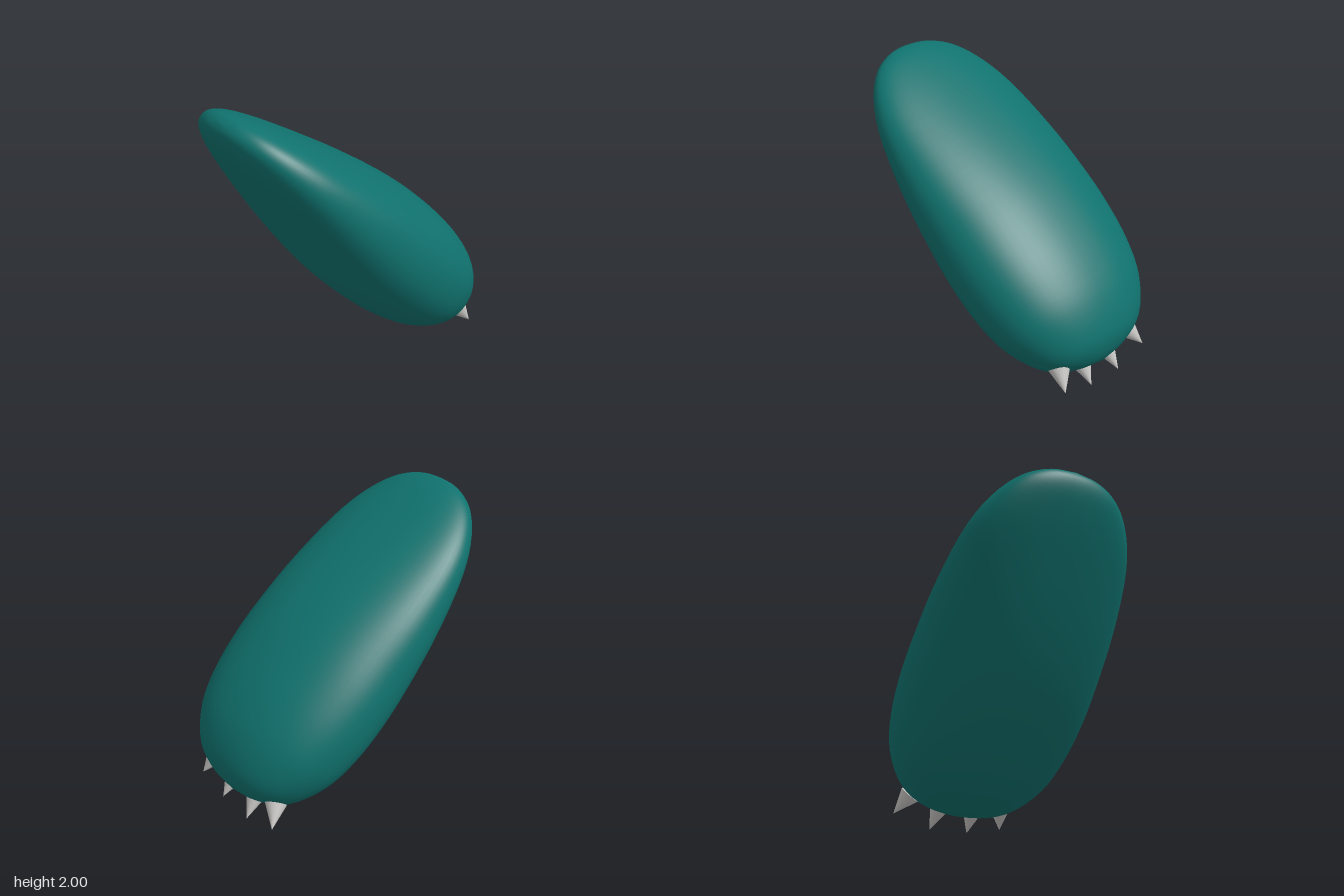
import * as THREE from 'three';
import { mergeVertices } from 'three/addons/utils/BufferGeometryUtils.js';

// Slanted frame of the body: long axis and thickness axis
const AXIS = new THREE.Vector3(0.7, -0.714, 0);
const THICK = new THREE.Vector3(0.714, 0.7, 0);
const CENTRE = new THREE.Vector3(0, 1, 0);

// Cross-sections: position along the axis, half thickness, half width
const SECTIONS = [
  [-1.37, 0, 0], [-1.345, 0.06, 0.18], [-1.26, 0.117, 0.35], [-1.1, 0.175, 0.49],
  [-0.85, 0.245, 0.6], [-0.4, 0.352, 0.672], [0, 0.42, 0.69], [0.3, 0.44, 0.69],
  [0.6, 0.432, 0.66], [0.85, 0.385, 0.59], [1.08, 0.268, 0.43], [1.185, 0.13, 0.22], [1.22, 0, 0],
];

const softPower = (v) => Math.sign(v) * Math.abs(v) ** (2 / 2.2);

// Closed loft of soft superellipses along the slanted axis
function bodyGeometry() {
  const curve = new THREE.CatmullRomCurve3(SECTIONS.map((p) => new THREE.Vector3(...p)));
  const rows = (SECTIONS.length - 1) * 4;
  const sides = 64;
  const positions = [];
  const index = [];
  for (let i = 0; i <= rows; i++) {
    const p = curve.getPoint(i / rows);
    const shift = 0.016 * (p.x + 1.37);
    for (let j = 0; j < sides; j++) {
      const a = (j / sides) * Math.PI * 2;
      const v = CENTRE.clone()
        .addScaledVector(AXIS, p.x)
        .addScaledVector(THICK, shift + p.y * softPower(Math.cos(a)));
      positions.push(v.x, v.y, p.z * softPower(Math.sin(a)));
      if (i === rows) continue;
      const b = i * sides + j;
      const c = i * sides + ((j + 1) % sides);
      // Pole rows need only one triangle per side
      if (i > 0) index.push(b, c, b + sides);
      if (i < rows - 1) index.push(c, c + sides, b + sides);
    }
  }
  const geometry = new THREE.BufferGeometry();
  geometry.setAttribute('position', new THREE.Float32BufferAttribute(positions, 3));
  geometry.setIndex(index);
  const merged = mergeVertices(geometry, 1e-5);
  merged.computeVertexNormals();
  return merged;
}

// Cone standing on a base point and ending at a tip point
function claw(base, tip, material) {
  const from = new THREE.Vector3(...base);
  const to = new THREE.Vector3(...tip);
  const direction = to.clone().sub(from);
  const mesh = new THREE.Mesh(new THREE.ConeGeometry(0.075, direction.length(), 32), material);
  mesh.position.copy(from).add(to).multiplyScalar(0.5);
  mesh.quaternion.setFromUnitVectors(new THREE.Vector3(0, 1, 0), direction.normalize());
  return mesh;
}

export function createModel() {
  const teal = new THREE.MeshStandardMaterial({ color: 0x10726e });
  teal.name = 'teal';
  const grey = new THREE.MeshStandardMaterial({ color: 0xcccac8 });
  grey.name = 'light grey';

  const model = new THREE.Group();
  model.name = 'clawedPaddle';

  const body = new THREE.Mesh(bodyGeometry(), teal);
  body.name = 'body';
  model.add(body);

  // Row of four claws under the broad end
  const claws = new THREE.Group();
  claws.name = 'claws';
  [
    [[0.785, 0.21, 0.345], [0.88, 0.077, 0.39]],
    [[0.78, 0.165, 0.12], [0.887, 0.018, 0.127]],
    [[0.78, 0.16, -0.137], [0.89, 0.004, -0.165]],
    [[0.785, 0.205, -0.37], [0.88, 0.08, -0.45]],
  ].forEach(([base, tip], i) => {
    const mesh = claw(base, tip, grey);
    mesh.name = `claw${i + 1}`;
    claws.add(mesh);
  });
  model.add(claws);
  return model;
}
